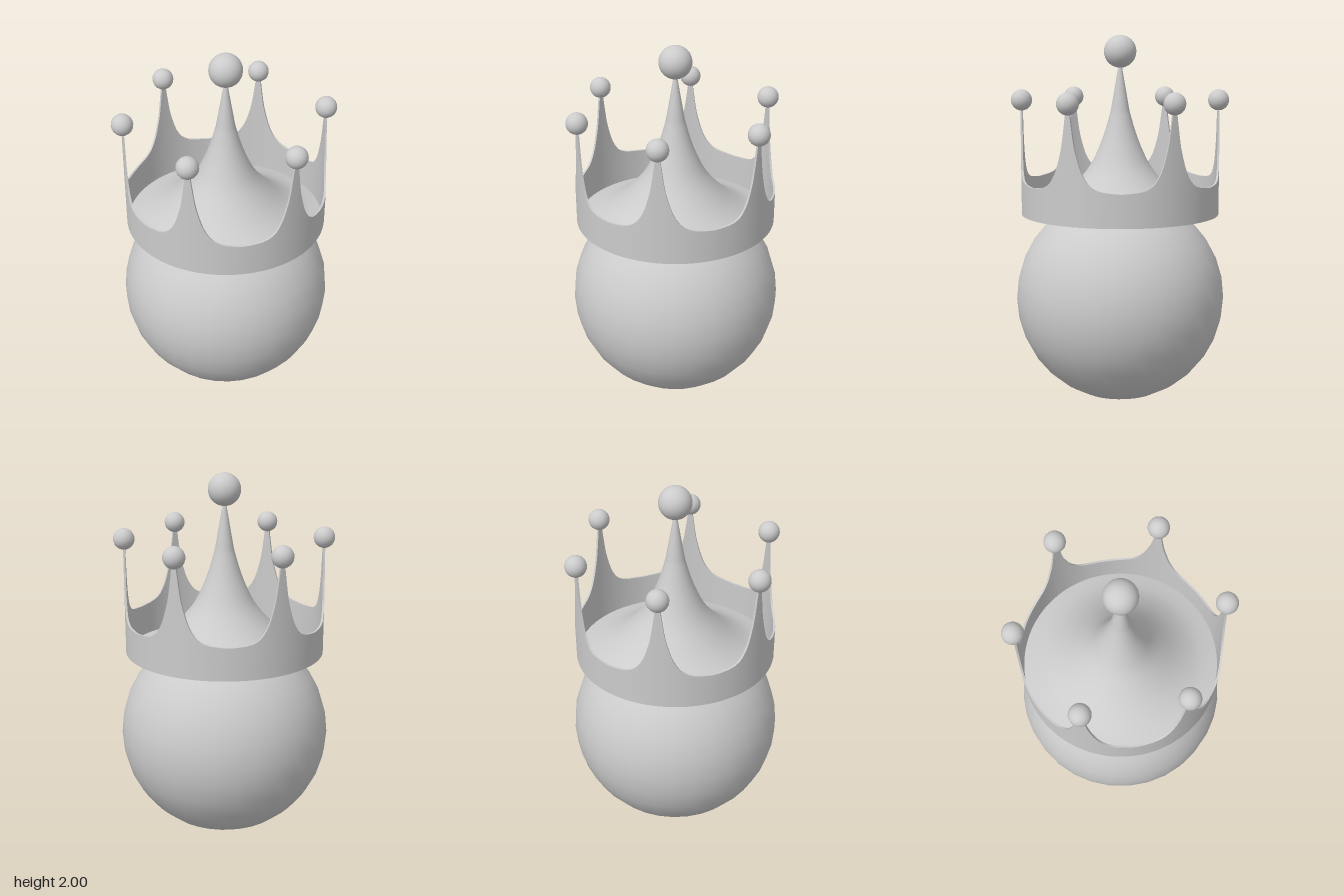
import * as THREE from 'three';

const mat = new THREE.MeshStandardMaterial({ color: 0xcccccc });
const matDouble = new THREE.MeshStandardMaterial({ color: 0xcccccc, side: THREE.DoubleSide });

const POINTS = 6;
const BOTTOM = 1.04;
const OUTER = 0.536;
const INNER = 0.525;

function add(parent, name, geometry, material = mat) {
  const mesh = new THREE.Mesh(geometry, material);
  mesh.name = name;
  parent.add(mesh);
  return mesh;
}

function ball(parent, name, r, x, y, z, segments) {
  add(parent, name, new THREE.SphereGeometry(r, segments, segments / 2)).position.set(x, y, z);
}

// Closed strip of quads between two rings; vertices are not shared with other strips
function strip(lower, upper) {
  const n = lower.length;
  const index = [];
  for (let i = 0; i < n; i++) {
    const j = (i + 1) % n;
    index.push(i, j, n + j, i, n + j, n + i);
  }
  const geometry = new THREE.BufferGeometry().setFromPoints([...lower, ...upper]);
  geometry.setIndex(index);
  geometry.computeVertexNormals();
  return geometry;
}

// Rim of the crown: arc distance from a tip against height, mirrored round each tip
function rimColumns() {
  const half = new THREE.SplineCurve([
    [0.008, 1.64], [0.02, 1.55], [0.035, 1.45], [0.053, 1.38], [0.078, 1.31],
    [0.12, 1.25], [0.18, 1.222], [0.281, 1.212],
  ].map(([s, y]) => new THREE.Vector2(s, y))).getPoints(16);
  const columns = [];
  for (let k = 0; k < POINTS; k++) {
    const centre = (k * Math.PI * 2) / POINTS;
    const at = (p, side) => ({ angle: centre + (side * p.x) / OUTER, y: p.y });
    // The valley column is shared with the next tip
    for (let i = half.length - 2; i >= 0; i--) columns.push(at(half[i], -1));
    for (const p of half) columns.push(at(p, 1));
  }
  return columns;
}

export function createModel() {
  const model = new THREE.Group();
  model.name = 'crownedOrb';

  ball(model, 'orb', 0.57, 0, 0.575, 0, 32);

  // Hollow flared spire that spreads into the floor of the crown
  const flare = new THREE.SplineCurve([
    [0.05, 1.6], [0.078, 1.5], [0.115, 1.4], [0.165, 1.3], [0.235, 1.213],
    [0.32, 1.135], [0.42, 1.075], [0.53, 1.042],
  ].map(([r, y]) => new THREE.Vector2(r, y))).getPoints(24);
  const profile = [new THREE.Vector2(0.005, 1.86), ...flare].reverse();
  add(model, 'spire', new THREE.LatheGeometry(profile, 48), matDouble);
  ball(model, 'spireBall', 0.087, 0, 1.913, 0, 32);

  // Thin crown band: outer wall, inner wall, top and bottom edges
  const crown = new THREE.Group();
  crown.name = 'crownBand';
  const columns = rimColumns();
  const ring = (r, flat) => columns.map(({ angle, y }) =>
    new THREE.Vector3(r * Math.sin(angle), flat ? BOTTOM : y, r * Math.cos(angle)));
  const outerLow = ring(OUTER, true), outerHigh = ring(OUTER, false);
  const innerLow = ring(INNER, true), innerHigh = ring(INNER, false);
  add(crown, 'outerWall', strip(outerLow, outerHigh));
  add(crown, 'topEdge', strip(outerHigh, innerHigh));
  add(crown, 'innerWall', strip(innerHigh, innerLow));
  add(crown, 'bottomEdge', strip(innerLow, outerLow));
  model.add(crown);

  // A small ball on each tip
  for (let k = 0; k < POINTS; k++) {
    const a = (k * Math.PI * 2) / POINTS;
    ball(model, 'tipBall', 0.057, 0.531 * Math.sin(a), 1.655, 0.531 * Math.cos(a), 24);
  }

  return model;
}
